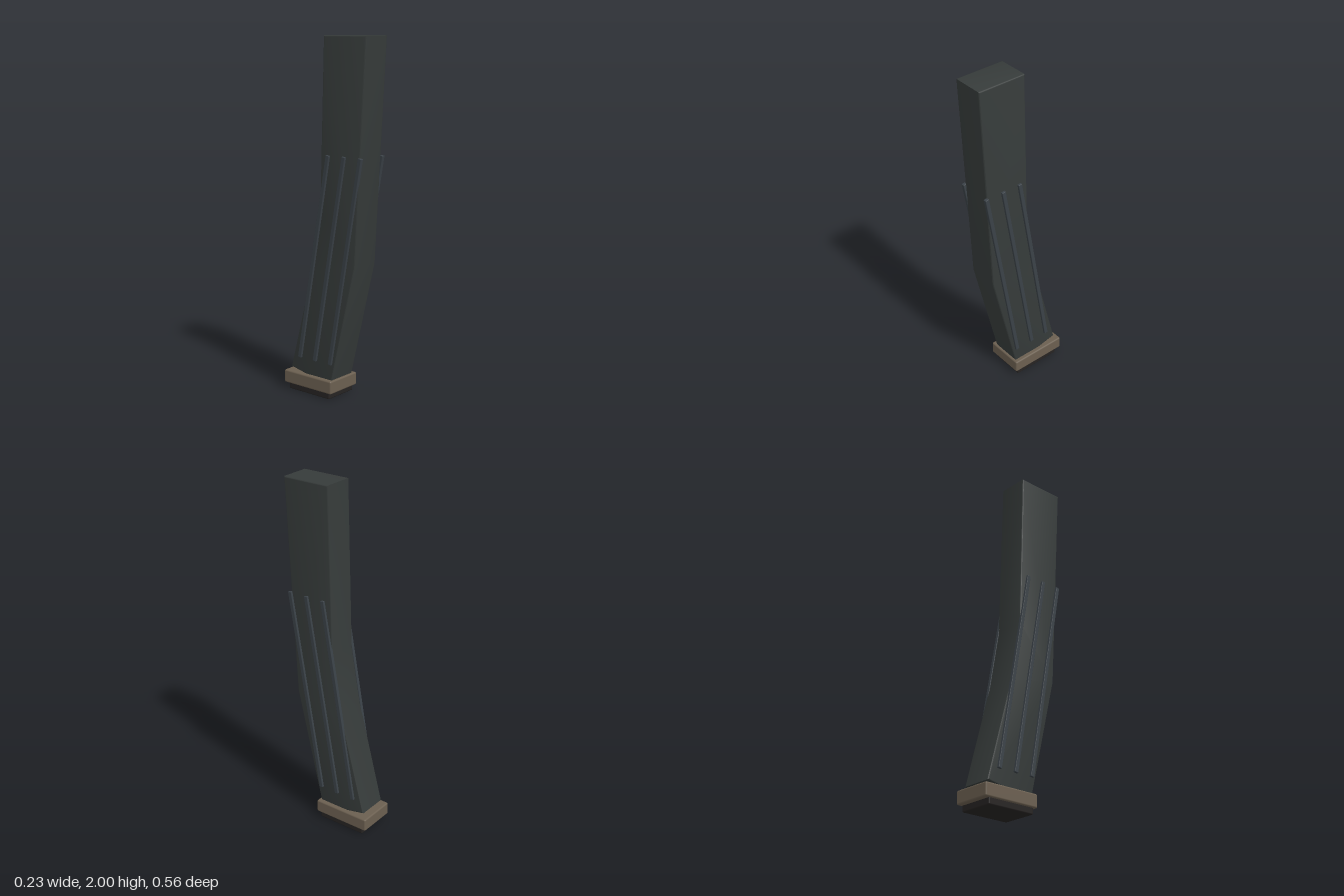
import * as THREE from 'three';
import { RoundedBoxGeometry } from 'three/addons/geometries/RoundedBoxGeometry.js';
import { toCreasedNormals } from 'three/addons/utils/BufferGeometryUtils.js';

const paint = (color) => new THREE.MeshStandardMaterial({ color });

export function createModel() {
  const group = new THREE.Group();
  const steel = paint(0x363b3a);
  const ribSteel = paint(0x3a4147);
  const tan = paint(0x6b5f50);
  const rubber = paint(0x262322);

  const add = (name, geometry, material, x, y, z) => {
    const mesh = new THREE.Mesh(geometry, material);
    mesh.name = name;
    mesh.position.set(x, y, z);
    group.add(mesh);
    return mesh;
  };

  // Curved body: side profile as (z, y), extruded across the width
  const profile = [
    [0.04, 0.07], [-0.25, 0.13], [-0.095, 0.71], [-0.033, 1.06],
    [-0.005, 2], [0.28, 2], [0.21, 0.775],
  ];
  const shape = new THREE.Shape(profile.map(([z, y]) => new THREE.Vector2(z, y)));
  const width = 0.18, bevel = 0.007;
  const body = new THREE.ExtrudeGeometry(shape, {
    depth: width - 2 * bevel,
    bevelThickness: bevel, bevelSize: bevel, bevelOffset: -bevel, bevelSegments: 3,
  });
  body.translate(0, 0, bevel - width / 2);
  body.rotateY(-Math.PI / 2);
  add('body', toCreasedNormals(body, 0.6), steel, 0, 0, 0);

  // Three slanted ribs on each side
  const tilt = THREE.MathUtils.degToRad(10.1);
  for (const side of [1, -1]) {
    for (let i = 0; i < 3; i++) {
      const rib = add(side > 0 ? 'leftRib' : 'rightRib',
        new RoundedBoxGeometry(0.02, 1.185, 0.023, 2, 0.003),
        ribSteel, side * 0.0925, 0.784, 0.145 - i * 0.11);
      rib.rotation.x = tilt;
    }
  }

  // Base plate and the foot pad under it
  add('basePlate', new RoundedBoxGeometry(0.23, 0.075, 0.346, 3, 0.009), tan, 0, 0.0725, -0.11);
  add('footPad', new RoundedBoxGeometry(0.208, 0.06, 0.296, 3, 0.007), rubber, 0, 0.03, -0.106);

  return group;
}
